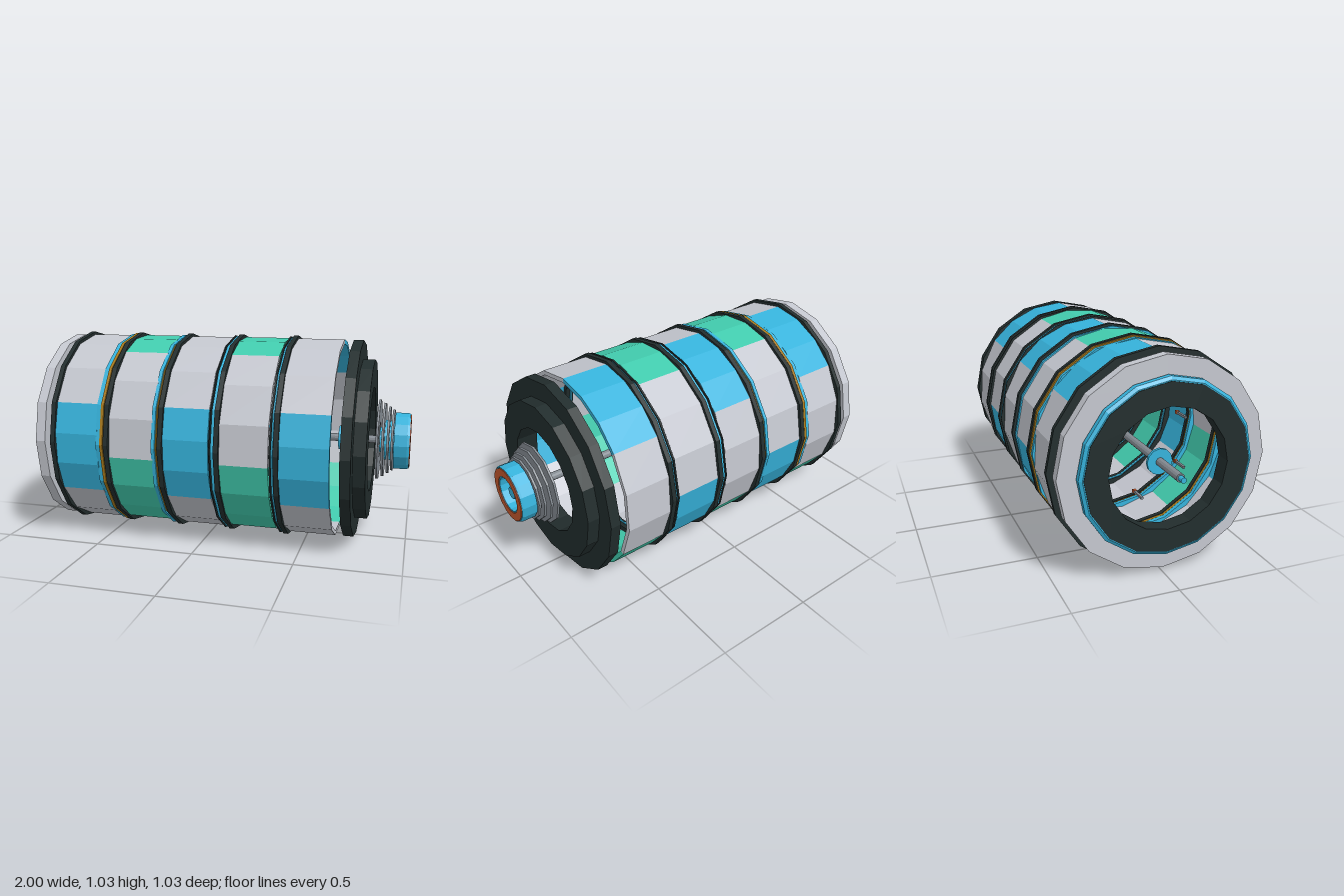
import * as THREE from 'three';

const mat = (name, color, opts = {}) =>
  Object.assign(new THREE.MeshStandardMaterial({ color, flatShading: true, ...opts }), { name });

const M = {
  pale: mat('pale grey panel', 0xc4c7cf),
  blue: mat('blue', 0x36b3dc),
  green: mat('green', 0x42ccae),
  dark: mat('dark rubber', 0x222d2d),
  steel: mat('steel grey', 0x838a91),
  orange: mat('orange', 0xc2572c),
  gold: mat('gold', 0xa87a1c),
};

const AXIS_Y = 0.518;
const rad = THREE.MathUtils.degToRad;

export function createModel() {
  const model = new THREE.Group();
  model.name = 'segmentedDrum';
  const body = new THREE.Group();
  body.name = 'body';
  body.position.y = AXIS_Y;
  model.add(body);

  // Revolves [radius, x] points about the x axis; angles run from the top towards the front.
  function turned(name, material, points, sides = 16, from = 0, sweep = 360, parent = body) {
    const geo = new THREE.LatheGeometry(
      points.map(([r, x]) => new THREE.Vector2(r, x)), sides, rad(from) - Math.PI / 2, rad(sweep));
    geo.rotateZ(-Math.PI / 2);
    const flat = geo.toNonIndexed();
    flat.computeVertexNormals();
    const mesh = new THREE.Mesh(flat, material);
    mesh.name = name;
    parent.add(mesh);
    return mesh;
  }

  // Hollow ring and solid rod along x
  const ring = (name, m, x0, x1, outer, inner, sides = 16, from = 0, sweep = 360, parent = body) =>
    turned(name, m, [[inner, x0], [outer, x0], [outer, x1], [inner, x1], [inner, x0]], sides, from, sweep, parent);
  const rod = (name, m, x0, x1, r, sides = 12) =>
    turned(name, m, [[0, x0], [r, x0], [r, x1], [0, x1]], sides);

  // Five drum sections, alternate ones twisted by 30 degrees
  const sections = [[-0.71, -0.485], [-0.425, -0.195], [-0.145, 0.083], [0.135, 0.372], [0.42, 0.655]];
  sections.forEach(([x0, x1], i) => {
    const section = new THREE.Group();
    section.name = `drumSection${i + 1}`;
    body.add(section);
    const odd = i % 2;
    const colours = odd ? [M.green, M.green, M.blue] : [M.blue, M.blue, M.green];
    for (let k = 0; k < 3; k++) {
      const start = -53 + 120 * k + (odd ? 30 : 0);
      ring('colouredPanel', colours[k], x0, x1, 0.502, 0.48, 3, start, 53, section);
      ring('palePanel', M.pale, x0, x1, 0.502, 0.48, 3, start + 53, 67, section);
    }
    // Dark band at the left edge of each section
    ring('darkBand', M.dark, x0 - 0.022, x0 + 0.002, 0.517, 0.46, 16, 0, 360, section);
  });

  // Seals in the joints between sections
  ring('blueSeal', M.blue, -0.49, -0.468, 0.507, 0.46);
  ring('goldSeal', M.gold, -0.467, -0.452, 0.513, 0.46);
  ring('blueSeal', M.blue, -0.2, -0.182, 0.509, 0.46);
  ring('goldSeal', M.gold, -0.18, -0.175, 0.505, 0.46);
  ring('darkSeal', M.dark, 0.088, 0.093, 0.512, 0.46);
  ring('blueSeal', M.blue, 0.098, 0.112, 0.509, 0.46);
  ring('darkSeal', M.dark, 0.378, 0.386, 0.512, 0.46);
  ring('blueSeal', M.blue, 0.387, 0.394, 0.505, 0.46);

  // Left end: pale flange, blue rim and dark inner collar
  ring('paleFlange', M.pale, -0.82, -0.77, 0.5, 0.4);
  turned('blueRim', M.blue,
    [[0.385, -0.865], [0.4, -0.865], [0.415, -0.855], [0.415, -0.828], [0.405, -0.82], [0.385, -0.82], [0.385, -0.865]]);
  ring('darkCollar', M.dark, -0.868, -0.79, 0.395, 0.285);

  // Right end: stepped dark ring
  turned('steppedEndRing', M.dark,
    [[0.268, 0.7], [0.5, 0.7], [0.5, 0.75], [0.405, 0.75], [0.405, 0.81], [0.268, 0.81], [0.268, 0.7]]);

  // Central shaft with hubs
  rod('shaft', M.steel, -0.97, 0.87, 0.02);
  rod('shaftTip', M.blue, -1, -0.965, 0.013);
  rod('leftHub', M.blue, -0.77, -0.755, 0.062);
  rod('rightHub', M.blue, 0.645, 0.66, 0.062);

  // Six small bolts with orange heads inside the drum
  for (let k = 0; k < 6; k++) {
    const a = rad(60 * k);
    const bolt = new THREE.Group();
    bolt.name = 'bolt';
    const shank = new THREE.Mesh(new THREE.BoxGeometry(0.08, 0.012, 0.012), M.steel);
    shank.name = 'boltShank';
    const head = new THREE.Mesh(new THREE.BoxGeometry(0.02, 0.016, 0.016), M.orange);
    head.name = 'boltHead';
    head.position.x = 0.05;
    bolt.add(shank, head);
    bolt.position.set(-0.55, 0.253 * Math.cos(a), 0.253 * Math.sin(a));
    body.add(bolt);
  }

  // Nozzle: shrinking steel fins on a blue sleeve
  [[0.838, 0.205], [0.864, 0.19], [0.888, 0.172], [0.908, 0.157]].forEach(([x, r]) =>
    ring('nozzleFin', M.steel, x, x + 0.011, r, 0.09, 12));
  ring('nozzleSleeve', M.blue, 0.86, 0.93, 0.102, 0.088);
  turned('nozzleBody', M.blue,
    [[0.086, 0.922], [0.143, 0.922], [0.143, 0.985], [0.138, 0.996], [0.086, 0.996], [0.086, 0.922]]);
  ring('nozzleFace', M.orange, 0.99, 1, 0.134, 0.093);

  // Tapered plug in the middle of the nozzle
  turned('nozzlePlug', M.blue, [[0, 0.85], [0.065, 0.85], [0.065, 0.9], [0.03, 0.98], [0, 0.98]]);

  return model;
}
